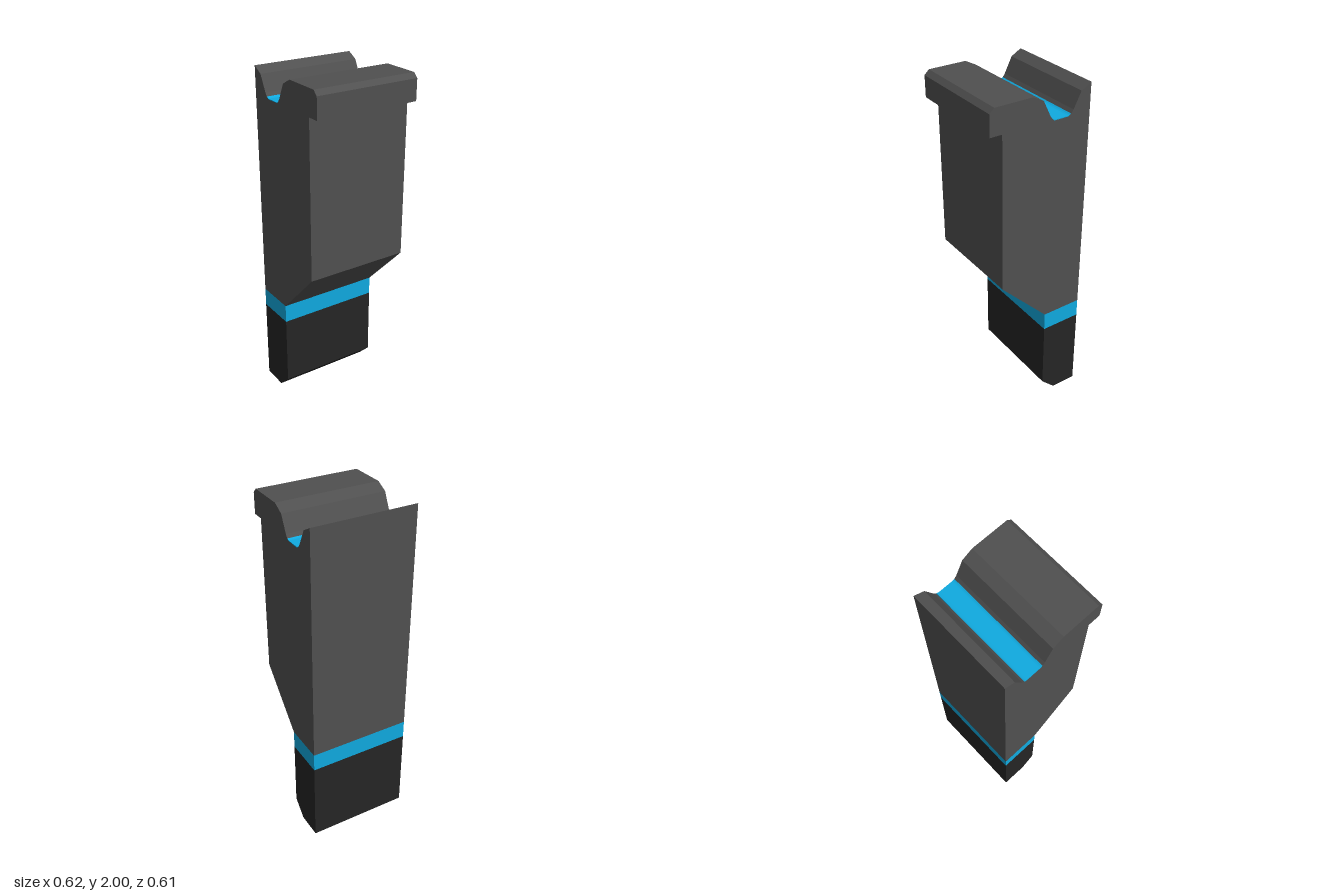
import * as THREE from 'three';

const WIDTH = 0.615;

const mat = (name, color) => new THREE.MeshStandardMaterial({ name, color });

// Sweeps a side profile of [z, y] points across the width
function sweep(name, points, material) {
  const shape = new THREE.Shape(points.map(([z, y]) => new THREE.Vector2(z, y)));
  const geometry = new THREE.ExtrudeGeometry(shape, { depth: WIDTH, bevelEnabled: false });
  geometry.translate(0, 0, -WIDTH / 2).rotateY(-Math.PI / 2);
  const mesh = new THREE.Mesh(geometry, material);
  mesh.name = name;
  return mesh;
}

export function createModel() {
  const grey = mat('dark grey', 0x505050);
  const black = mat('black', 0x252525);
  const blue = mat('blue', 0x10aae0);
  const model = new THREE.Group();
  model.name = 'lever';

  const back = -0.307, stem = -0.062;

  // Rounded groove floor, from back to front
  const floor = [
    [-0.185, 1.856], [-0.177, 1.851], [-0.167, 1.848],
    [-0.084, 1.848], [-0.077, 1.85], [-0.07, 1.854],
  ];

  // Main body with groove and front lip
  model.add(sweep('body', [
    [back, 0.62], [back, 2], [-0.246, 1.966], [-0.2, 1.876],
    ...floor,
    [-0.055, 1.874], [-0.01, 1.966], [0.055, 2], [0.279, 2], [0.307, 1.974],
    [0.307, 1.852], [0.235, 1.852], [0.235, 0.928], [stem, 0.62],
  ], grey));

  // Coloured band and black foot with a chamfered toe
  model.add(sweep('band', [[back, 0.51], [back, 0.62], [stem, 0.62], [stem, 0.51]], blue));
  model.add(sweep('foot', [
    [back, 0], [back, 0.51], [stem, 0.51], [stem, 0.087], [-0.15, 0],
  ], black));

  // Thin coloured inlay on the groove floor
  const inlay = [
    ...floor.map(([z, y]) => [z, y + 0.002]),
    ...floor.map(([z, y]) => [z, y - 0.002]).reverse(),
  ];
  model.add(sweep('grooveInlay', inlay, blue));

  return model;
}
